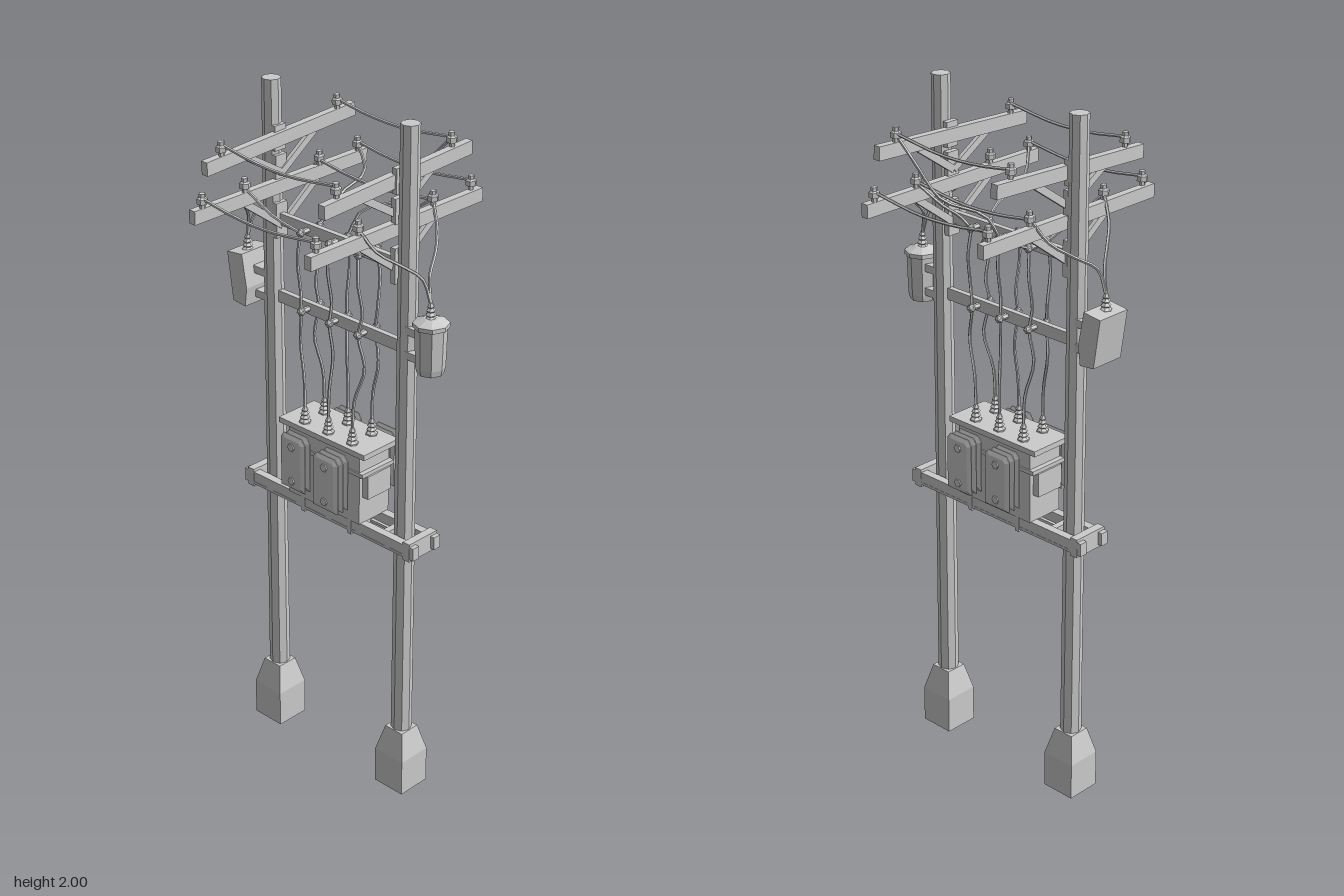
import * as THREE from 'three';

export function createModel() {
  const root = new THREE.Group();
  const mat = new THREE.MeshStandardMaterial({ color: 0xcccccc, flatShading: true });

  function add(name, geo, x = 0, y = 0, z = 0, parent = root) {
    const m = new THREE.Mesh(geo, mat);
    m.name = name;
    m.position.set(x, y, z);
    parent.add(m);
    return m;
  }
  const box = (name, w, h, d, x, y, z, parent) => add(name, new THREE.BoxGeometry(w, h, d), x, y, z, parent);
  const cyl = (name, rt, rb, h, n, x, y, z, parent) => add(name, new THREE.CylinderGeometry(rt, rb, h, n), x, y, z, parent);
  const lathe = (name, pts, n, x, y, z, parent) =>
    add(name, new THREE.LatheGeometry(pts.map(p => new THREE.Vector2(p[0], p[1])), n), x, y, z, parent);
  function wire(name, pts, r = 0.0045) {
    const curve = new THREE.CatmullRomCurve3(pts.map(p => new THREE.Vector3(...p)), false, 'centripetal');
    return add(name, new THREE.TubeGeometry(curve, (pts.length - 1) * 3, r, 5), 0, 0, 0);
  }
  // Square bar running between two points
  function bar(name, a, b, w, h) {
    const A = new THREE.Vector3(...a), B = new THREE.Vector3(...b);
    const m = box(name, w, h, A.distanceTo(B), 0, 0, 0);
    m.position.copy(A).add(B).multiplyScalar(0.5);
    m.lookAt(B);
    return m;
  }

  // Poles with tapered square footings
  const poleZ = [0.243, -0.25];
  for (const z of poleZ) {
    cyl('pole', 0.026, 0.03, 1.85, 8, 0, 1.075, z);
    box('footing', 0.104, 0.11, 0.104, 0, 0.055, z);
    const cap = cyl('footingTaper', 0.032 * Math.SQRT2, 0.052 * Math.SQRT2, 0.08, 4, 0, 0.15, z);
    cap.rotation.y = Math.PI / 4;
  }

  // Crossarms, pin insulators and V braces on the inner face of each pole
  const pin = [[0, 0], [0.008, 0], [0.008, 0.012], [0.015, 0.014], [0.015, 0.028], [0.009, 0.032], [0.009, 0.042], [0, 0.042]];
  const tilt = 0.045;
  for (const [z, pinZ, side] of [[0.201, 0.197, 1], [-0.218, -0.213, -1]]) {
    box('lowerCrossarm', 0.64, 0.038, 0.022, 0, 1.71, z);
    for (const x of [-0.288, -0.137, 0.14, 0.288]) lathe('lowerInsulator', pin, 6, x, 1.727, pinZ);

    const upper = new THREE.Group();
    upper.name = 'upperCrossarm';
    upper.position.set(0, 1.842, z);
    upper.rotation.z = tilt;
    root.add(upper);
    box('upperArm', 0.545, 0.038, 0.022, 0, 0, 0, upper);
    for (const x of [-0.215, 0.21]) lathe('upperInsulator', pin, 6, x, 0.017, pinZ - z, upper);

    for (const s of [-1, 1]) {
      bar('lowerBrace', [s * 0.135, 1.695, z], [0, 1.595, z], 0.012, 0.02);
      bar('upperBrace', [s * 0.125, 1.827 + s * 0.005, z], [0, 1.745, z], 0.012, 0.02);
    }
    box('armPlate', 0.04, 0.1, 0.016, 0, 1.61, z + side * 0.006);
    box('armPlate', 0.04, 0.07, 0.016, 0, 1.76, z + side * 0.006);
    box('armPlate', 0.04, 0.07, 0.016, 0, 1.842, z + side * 0.008);
  }

  // Line wires strung between the two sets of crossarms
  const span = (x, y, dx = 0, sag = 0.02) =>
    wire('spanWire', [[x, y, -0.213], [x + dx * 0.5, y - sag * 0.8, -0.1], [x + dx, y - sag, 0.03], [x, y, 0.197]]);
  span(-0.288, 1.755);
  span(0.288, 1.755);
  span(0.136, 1.745);
  span(-0.213, 1.88);
  span(0.21, 1.895);

  // Two tie bars between the poles carrying wire spreaders
  const wireZ = [0.1, -0.005, -0.11];
  for (const y of [1.613, 1.385]) {
    box('tieBar', 0.016, 0.034, 0.47, 0, y, -0.003);
    for (const z of wireZ) {
      const s = cyl('wireSpreader', 0.008, 0.008, 0.076, 6, 0, y, z);
      s.rotation.z = Math.PI / 2;
      for (const x of [-0.036, 0.036]) add('spreaderKnob', new THREE.IcosahedronGeometry(0.013, 0), x, y, z);
    }
  }

  // Platform: twin rails clamped to the poles, end caps and cross straps
  for (const x of [-0.042, 0.042]) {
    box('platformRail', 0.024, 0.038, 0.65, x, 0.812, 0);
    box('railLip', 0.034, 0.008, 0.61, x * 0.9, 0.797, 0);
  }
  for (const s of [-1, 1]) {
    box('platformClamp', 0.11, 0.055, 0.024, 0, 0.812, s * 0.3);
    box('platformClamp', 0.08, 0.03, 0.02, 0, 0.812, s * 0.2);
    box('platformStrap', 0.112, 0.045, 0.014, 0, 0.807, s * 0.09);
  }

  // Transformer tank with lid and side flanges
  const tank = new THREE.Group();
  tank.name = 'transformer';
  tank.position.z = -0.006;
  root.add(tank);
  box('tankBody', 0.116, 0.215, 0.27, 0, 0.937, 0, tank);
  box('tankLid', 0.138, 0.016, 0.324, 0, 1.05, 0, tank);
  box('tankBand', 0.124, 0.012, 0.3, 0, 0.985, 0, tank);
  box('endCabinet', 0.09, 0.07, 0.31, 0, 0.945, 0, tank);
  box('tankFoot', 0.1, 0.02, 0.24, 0, 0.837, 0, tank);

  // Radiator fins: bevelled plates in banks of two or three
  const fin = new THREE.Shape([[-0.046, 0.878], [0.046, 0.878], [0.046, 1.028], [0.034, 1.044], [-0.034, 1.044], [-0.046, 1.028]]
    .map(p => new THREE.Vector2(...p)));
  const finGeo = new THREE.ExtrudeGeometry(fin, {
    depth: 0.003, bevelEnabled: true, bevelSize: 0.012, bevelOffset: -0.012, bevelThickness: 0.0055, bevelSegments: 1,
  });
  finGeo.translate(0, 0, -0.0015).rotateY(Math.PI / 2);
  for (const [s, z, n] of [[1, -0.08, 3], [1, 0.064, 3], [-1, -0.08, 2], [-1, 0.064, 3]]) {
    for (let i = 0; i < n; i++) add('radiatorFin', finGeo, s * (0.083 + i * 0.019), 0, z);
    const len = 0.025 + n * 0.019;
    for (const y of [0.905, 1.01]) {
      const p = cyl('radiatorPipe', 0.012, 0.012, len, 6, s * (0.05 + len / 2), y, z);
      p.rotation.z = Math.PI / 2;
    }
  }

  // Ribbed bushings on the lid with wires rising through both spreaders
  const bushing = [[0.017, 0], [0.017, 0.006], [0.009, 0.012], [0.015, 0.017], [0.008, 0.024],
    [0.013, 0.029], [0.007, 0.036], [0.01, 0.04], [0.005, 0.05], [0, 0.052]];
  [0.085, -0.005, -0.095].forEach((bz, i) => {
    const z = wireZ[i], bow = [0.018, 0.006, -0.012][i];
    for (const x of [-0.04, 0.036]) {
      lathe('bushing', bushing, 6, x, 1.056, bz);
      wire('riserWire', [[x, 1.1, bz], [x * 0.95, 1.19, bz + bow * 0.3], [x * 0.7, 1.29, z + bow],
        [x * 0.9, 1.385, z], [x * 0.75, 1.44, z + bow * 0.6], [x * 1.1, 1.54, z + bow * 0.4], [x * 0.9, 1.613, z]]);
    }
  });

  // Tap wires from the upper spreaders to the crossarm insulators
  const taps = [
    [[0.034, 1.613, -0.11], [0.15, 1.665, -0.14], [0.265, 1.69, -0.163], [0.288, 1.75, -0.213]],
    [[-0.036, 1.613, -0.11], [-0.1, 1.67, -0.15], [-0.137, 1.74, -0.21]],
    [[0.034, 1.613, -0.005], [0.07, 1.68, 0.012], [0.14, 1.72, 0.1], [0.2, 1.83, 0.14], [0.208, 1.89, 0.195]],
    [[0.034, 1.613, 0.1], [0.06, 1.65, 0.118], [0.11, 1.69, 0.13], [0.138, 1.74, 0.19]],
    [[-0.036, 1.613, 0.1], [-0.075, 1.64, 0.12], [-0.22, 1.68, 0.15], [-0.288, 1.75, 0.195]],
  ];
  for (const t of taps) wire('tapWire', t);

  // Round can hung on the outside of the front pole
  lathe('roundCan', [[0, 1.342], [0.036, 1.342], [0.04, 1.36], [0.043, 1.47], [0.049, 1.472], [0.049, 1.484], [0.02, 1.496], [0, 1.496]],
    8, 0, 0, 0.325);
  for (const y of [1.375, 1.445]) {
    box('canBracket', 0.045, 0.022, 0.05, 0, y, 0.275);
    box('cabinetBracket', 0.045, 0.022, 0.05, 0, y, -0.285);
  }
  // Leaning box cabinet on the outside of the back pole
  const side = new THREE.Shape([[0.305, 1.345], [0.352, 1.35], [0.372, 1.49], [0.315, 1.497], [0.298, 1.4]]
    .map(p => new THREE.Vector2(...p)));
  const cabGeo = new THREE.ExtrudeGeometry(side, { depth: 0.105, bevelEnabled: false });
  cabGeo.translate(0, 0, -0.0525).rotateY(Math.PI / 2);
  add('boxCabinet', cabGeo, -0.006, 0, 0).name = 'boxCabinet';

  // Can bushings and the pair of leads climbing to each lower crossarm
  for (const [x, z, s, pz] of [[0, 0.323, 1, 0.197], [-0.014, -0.337, -1, -0.213]]) {
    lathe('canBushing', bushing, 6, x, 1.488, z);
    for (const e of [-1, 1])
      wire('canLead', [[x, 1.53, z], [x + e * 0.012, 1.6, z - s * 0.018], [e * 0.062, 1.645, pz + s * 0.082],
        [e * 0.112, 1.685, pz + s * 0.042], [e * 0.138, 1.745, pz]]);
  }

  return root;
}
